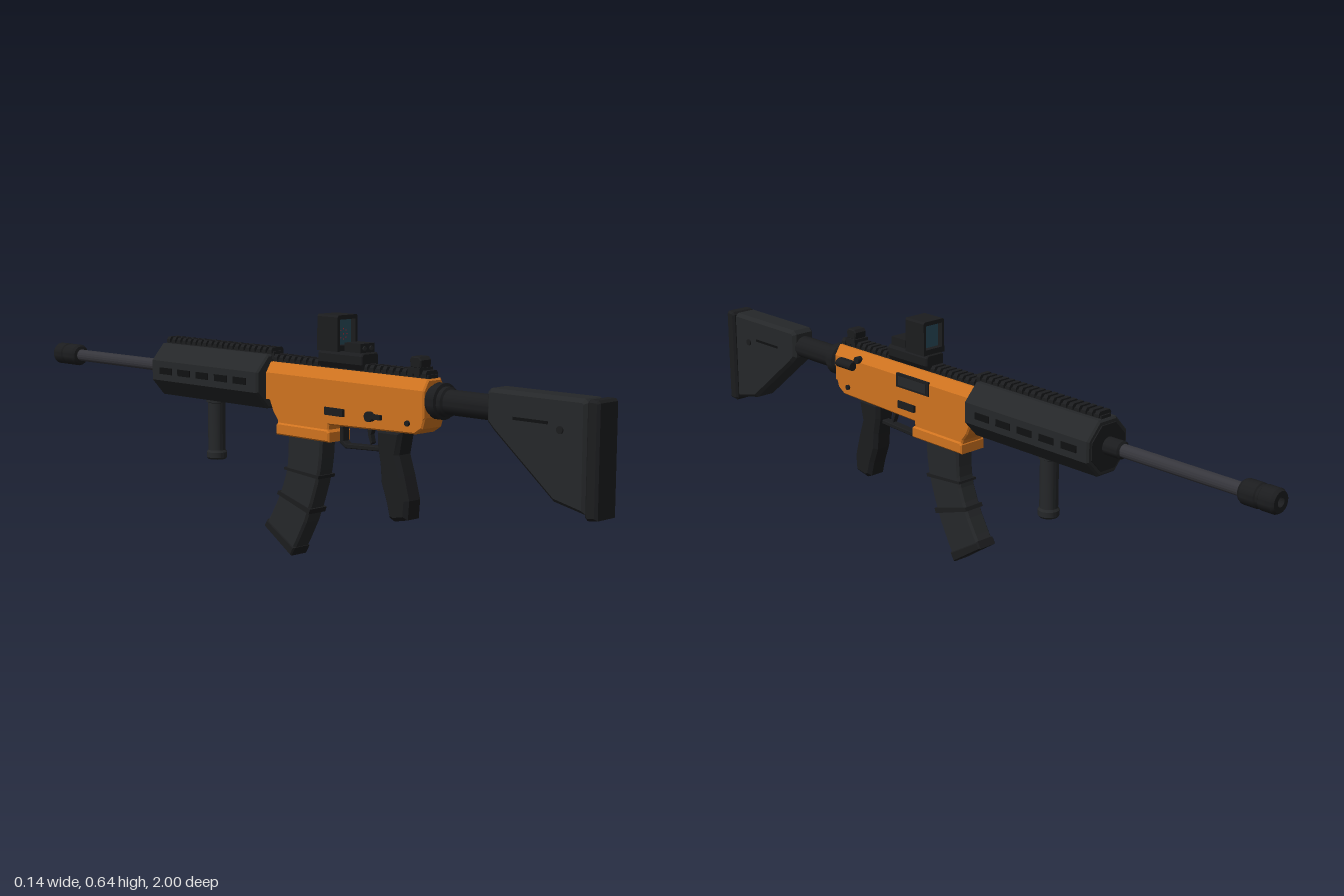
import * as THREE from 'three';
import { toCreasedNormals } from 'three/addons/utils/BufferGeometryUtils.js';

const mat = (color) => new THREE.MeshStandardMaterial({ color });

export function createModel() {
  const root = new THREE.Group();
  const black = mat(0x1b1c1e), dark = mat(0x252729), steel = mat(0x36363c), deep = mat(0x101112);
  const orange = mat(0xcf731f), glass = mat(0x284b5a), red = mat(0xd02838);

  const add = (name, geo, m, parent = root) => {
    const mesh = new THREE.Mesh(geo, m);
    mesh.name = name;
    parent.add(mesh);
    return mesh;
  };
  const group = (name) => {
    const g = new THREE.Group();
    g.name = name;
    root.add(g);
    return g;
  };
  const toPoints = (pts) => pts.map(([a, b]) => new THREE.Vector2(a, b));
  const toShape = (pts) => new THREE.Shape(toPoints(pts));
  const extrude = (shape, depth, bevel) => new THREE.ExtrudeGeometry(shape, {
    depth: depth - 2 * bevel, bevelEnabled: bevel > 0, bevelThickness: bevel,
    bevelSize: bevel, bevelOffset: -bevel, bevelSegments: 1,
  }).translate(0, 0, -(depth - 2 * bevel) / 2);
  // Side outline given as [z, y], extruded across x
  const side = (name, pts, width, bevel, m, parent) =>
    add(name, extrude(toShape(pts), width, bevel).rotateY(-Math.PI / 2), m, parent);
  // Cross-section given as [x, y], extruded from z0 to z1
  const along = (name, pts, z0, z1, bevel, m, parent) =>
    add(name, extrude(toShape(pts), z1 - z0, bevel).translate(0, 0, (z0 + z1) / 2), m, parent);
  // Box between two corners
  const box = (name, [x0, y0, z0], [x1, y1, z1], m, parent) =>
    add(name, new THREE.BoxGeometry(x1 - x0, y1 - y0, z1 - z0)
      .translate((x0 + x1) / 2, (y0 + y1) / 2, (z0 + z1) / 2), m, parent);
  // Turned profile with crisp edges
  const lathe = (pts) => toCreasedNormals(new THREE.LatheGeometry(toPoints(pts), 18), 0.5);
  // Turned part along z, profile given as [radius, z] with z falling
  const turned = (name, pts, y, m) =>
    add(name, lathe(pts.map(([r, z]) => [r, -z])).rotateX(-Math.PI / 2).translate(0, y, 0), m);
  // Short cylinder pointing sideways
  const pin = (name, r, length, x, y, z, m, parent) =>
    add(name, new THREE.CylinderGeometry(r, r, length, 14).rotateZ(Math.PI / 2).translate(x, y, z), m, parent);
  const octagon = (x, yc, h, tx, ty) => [[x, yc + h], [tx, yc + ty], [-tx, yc + ty], [-x, yc + h],
    [-x, yc - h], [-tx, yc - ty], [tx, yc - ty], [x, yc - h]];
  const rail = (name, y, z0, z1, n) => {
    const g = group(name);
    box('railBase', [-0.017, y - 0.01, z0], [0.017, y + 0.01, z1], black, g);
    const pitch = (z1 - z0) / n;
    for (let i = 0; i < n; i++) {
      const z = z0 + (i + 0.2) * pitch;
      along('railTooth', [[-0.022, y + 0.005], [0.022, y + 0.005], [0.022, y + 0.013],
        [0.017, y + 0.02], [-0.017, y + 0.02], [-0.022, y + 0.013]], z, z + pitch * 0.6, 0, black, g);
    }
  };

  // Shoulder stock
  const stock = group('stock');
  side('stockBody', [[0.965, 0.495], [0.955, 0.503], [0.69, 0.503], [0.68, 0.493], [0.68, 0.425],
    [0.70, 0.405], [0.875, 0.262], [0.965, 0.243]], 0.072, 0.009, dark, stock);
  side('buttPad', [[1, 0.235], [1, 0.497], [0.994, 0.503], [0.972, 0.503], [0.966, 0.495],
    [0.966, 0.24], [0.972, 0.232]], 0.076, 0.006, black, stock);
  for (const s of [-1, 1]) {
    box('stockSlot', [s * 0.036 - 0.001, 0.437, 0.76], [s * 0.036 + 0.001, 0.444, 0.86], deep, stock);
    pin('stockPin', 0.009, 0.008, s * 0.036, 0.428, 0.895, black, stock);
  }
  turned('bufferTube', [[0.001, 0.70], [0.031, 0.70], [0.031, 0.49], [0.001, 0.49]], 0.453, black);
  turned('bufferRing', [[0.028, 0.545], [0.037, 0.54], [0.037, 0.528], [0.045, 0.526], [0.045, 0.505],
    [0.038, 0.50], [0.038, 0.485]], 0.453, black);

  // Receiver
  const receiver = group('receiver');
  along('upperReceiver', [[-0.041, 0.408], [0.041, 0.408], [0.041, 0.478], [0.024, 0.505],
    [-0.024, 0.505], [-0.041, 0.478]], -0.058, 0.493, 0.004, orange, receiver);
  side('lowerReceiver', [[0.493, 0.412], [0.485, 0.385], [0.462, 0.37], [0.17, 0.362], [0.165, 0.325],
    [-0.012, 0.325], [-0.018, 0.355], [-0.034, 0.375], [-0.05, 0.412]], 0.074, 0.004, orange, receiver);
  side('magazineWellCollar', [[0.175, 0.318], [0.175, 0.343], [0.168, 0.35], [-0.012, 0.35],
    [-0.018, 0.343], [-0.018, 0.318]], 0.084, 0.004, orange, receiver);
  box('ejectionPort', [0.03, 0.447, 0.105], [0.044, 0.485, 0.232], black, receiver);
  box('portCover', [0.04, 0.453, 0.115], [0.046, 0.478, 0.222], dark, receiver);
  for (const s of [-1, 1]) {
    box('magazineRelease', [s * 0.04 - 0.005, 0.389, 0.163], [s * 0.04 + 0.005, 0.409, 0.227], black, receiver);
    pin('receiverPin', 0.007, 0.012, s * 0.037, 0.395, 0.44, black, receiver);
  }
  const lever = group('selectorLevers');
  box('rightLever', [0.038, 0.455, 0.405], [0.05, 0.478, 0.462], black, lever);
  add('rightKnob', new THREE.CylinderGeometry(0.012, 0.012, 0.06, 14).rotateX(Math.PI / 2)
    .translate(0.053, 0.466, 0.43), black, lever);
  pin('boltButton', 0.01, 0.016, 0.042, 0.485, 0.39, black, lever);
  pin('leftPivot', 0.013, 0.016, -0.044, 0.40, 0.32, black, lever);
  box('leftLever', [-0.052, 0.395, 0.315], [-0.042, 0.407, 0.36], black, lever);

  // Pistol grip, trigger and guard
  side('pistolGrip', [[0.41, 0.37], [0.325, 0.37], [0.327, 0.325], [0.336, 0.28], [0.34, 0.235],
    [0.357, 0.19], [0.368, 0.15], [0.385, 0.143], [0.428, 0.152], [0.432, 0.2], [0.415, 0.26],
    [0.398, 0.31]], 0.06, 0.01, black);
  side('triggerGuard', [[0.335, 0.322], [0.335, 0.31], [0.205, 0.304], [0.186, 0.316], [0.184, 0.37],
    [0.196, 0.37], [0.198, 0.322], [0.207, 0.316]], 0.024, 0.002, black);
  side('trigger', [[0.297, 0.37], [0.277, 0.37], [0.28, 0.345], [0.289, 0.323], [0.294, 0.328],
    [0.289, 0.348]], 0.014, 0, black);

  // Curved magazine, cut into slices between its rear and front edges
  const magazine = group('magazine');
  const rear = new THREE.SplineCurve(toPoints([[0.137, 0.34], [0.133, 0.27], [0.118, 0.2], [0.078, 0.095], [0.024, 0]]));
  const front = new THREE.SplineCurve(toPoints([[0.012, 0.34], [0.01, 0.27], [0.002, 0.215], [-0.03, 0.14], [-0.074, 0.067]]));
  const slice = (t0, t1, grow) => {
    const edge = (curve, offset) => Array.from({ length: 9 }, (_, i) => {
      const p = curve.getPoint(t0 + (t1 - t0) * i / 8);
      return [p.x + offset, p.y];
    });
    return [...edge(rear, grow), ...edge(front, -grow).reverse()];
  };
  side('magazineBody', slice(0, 1, 0), 0.056, 0.006, dark, magazine);
  for (const t of [0.42, 0.66]) side('magazineBand', slice(t, t + 0.03, 0.004), 0.061, 0, black, magazine);
  side('magazineFloor', slice(0.92, 1, 0.002), 0.061, 0.004, black, magazine);

  // Rails
  rail('receiverRail', 0.504, -0.05, 0.487, 25);
  rail('handguardRail', 0.521, -0.48, -0.05, 20);

  // Octagonal handguard with vent slots
  const guard = group('handguard');
  along('handguardBody', octagon(0.07, 0.452, 0.027, 0.03, 0.071), -0.487, -0.058, 0.005, dark, guard);
  along('handguardFrontCap', octagon(0.058, 0.452, 0.022, 0.024, 0.058), -0.49, -0.48, 0, black, guard);
  for (let i = 0; i < 5; i++) {
    const z = -0.125 - i * 0.075;
    for (const s of [-1, 1]) {
      box('ventSlot', [s * 0.07 - 0.002, 0.443, z - 0.025], [s * 0.07 + 0.002, 0.461, z + 0.025], deep, guard);
    }
  }

  // Barrel and muzzle
  turned('barrel', [[0.017, -0.45], [0.017, -0.92]], 0.455, steel);
  turned('barrelCollar', [[0.016, -0.485], [0.023, -0.49], [0.023, -0.535], [0.016, -0.54]], 0.455, black);
  turned('muzzleDevice', [[0.016, -0.896], [0.026, -0.898], [0.031, -0.906], [0.031, -0.945], [0.028, -0.948],
    [0.028, -0.955], [0.031, -0.958], [0.031, -0.992], [0.026, -1], [0.012, -1], [0.012, -0.96], [0.001, -0.96]],
  0.455, black);

  // Vertical foregrip
  const foregrip = add('foregrip', lathe([[0.001, 0.217], [0.024, 0.217], [0.028, 0.222],
    [0.028, 0.236], [0.024, 0.242], [0.024, 0.372], [0.028, 0.374], [0.028, 0.39]]), dark);
  foregrip.position.z = -0.295;

  // Reflex sight
  const sight = group('reflexSight');
  along('sightClamp', [[-0.022, 0.508], [0.022, 0.508], [0.031, 0.522], [0.031, 0.543], [0.025, 0.551],
    [-0.025, 0.551], [-0.031, 0.543], [-0.031, 0.522]], 0.125, 0.28, 0.003, black, sight);
  box('sightHousing', [-0.025, 0.55, 0.215], [0.025, 0.574, 0.27], black, sight);
  for (const s of [-1, 1]) {
    add('sightButton', new THREE.CylinderGeometry(0.006, 0.006, 0.004, 12).rotateX(Math.PI / 2)
      .translate(s * 0.012, 0.562, 0.271), dark, sight);
  }
  const hood = toShape([[-0.036, 0.55], [0.036, 0.55], [0.036, 0.636], [0.032, 0.641], [-0.032, 0.641], [-0.036, 0.636]]);
  hood.holes.push(new THREE.Path(toPoints([[-0.028, 0.565], [-0.028, 0.63], [0.028, 0.63], [0.028, 0.565]])));
  add('sightHood', extrude(hood, 0.072, 0).translate(0, 0, 0.165), black, sight);
  box('sightGlass', [-0.028, 0.565, 0.145], [0.028, 0.63, 0.185], glass, sight);
  for (let i = 0; i <= 8; i++) {
    const a = i * Math.PI / 4, r = i < 8 ? 0.013 : 0;
    add('reticleDot', new THREE.CircleGeometry(0.0018, 8)
      .translate(r * Math.cos(a), 0.592 + r * Math.sin(a), 0.186), red, sight);
  }

  // Folded rear sight
  const rearSight = group('rearSight');
  box('rearSightBase', [-0.024, 0.515, 0.425], [0.024, 0.53, 0.465], black, rearSight);
  side('rearSightLeaf', [[0.463, 0.528], [0.465, 0.548], [0.457, 0.556], [0.433, 0.556], [0.427, 0.548],
    [0.43, 0.528]], 0.04, 0.003, black, rearSight);

  return root;
}
